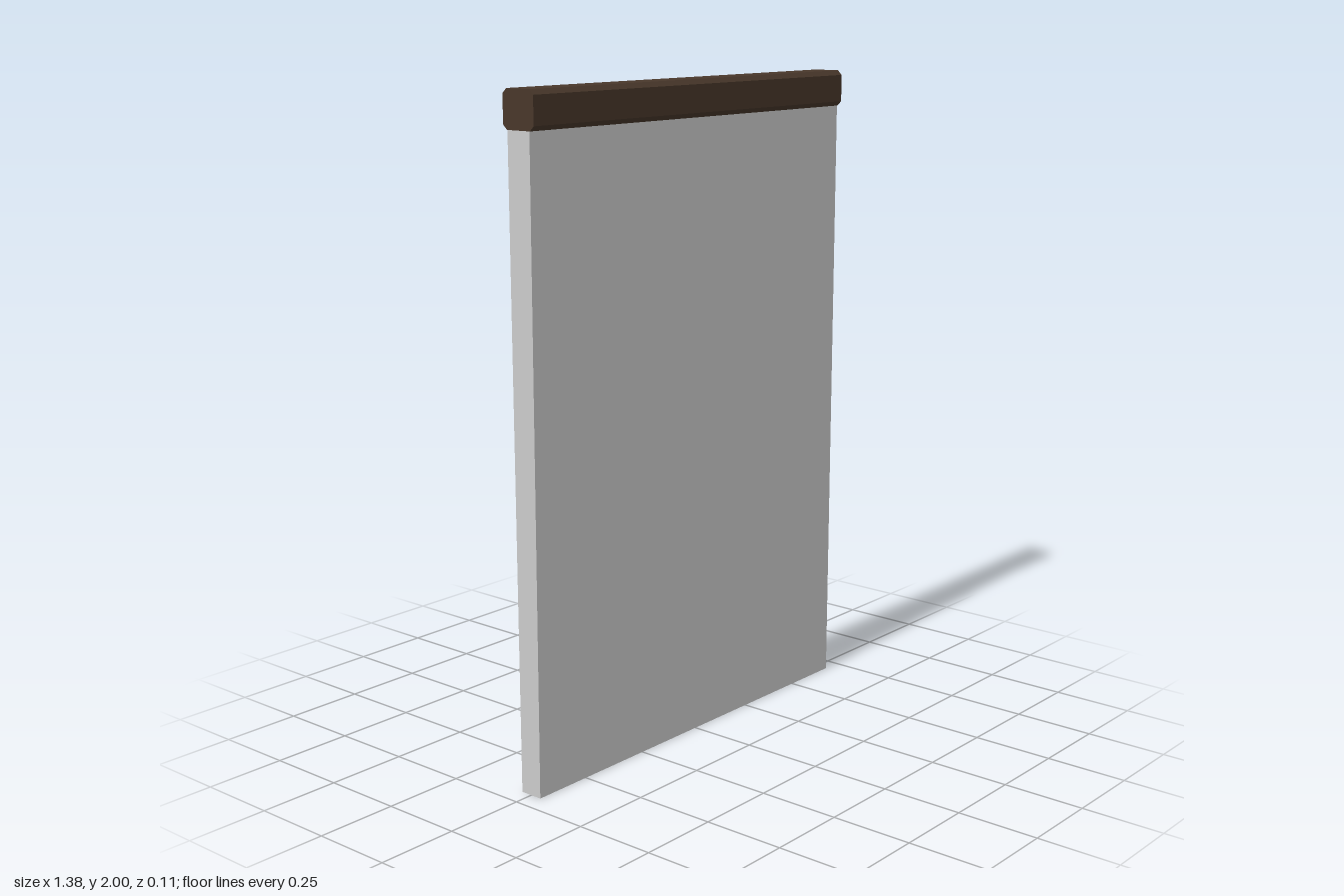
import * as THREE from 'three';

const HALF_WIDTH = 0.69;

// Head rail: chamfered square section extruded along x
function createRail() {
  const hz = 0.057, y0 = 1.89, y1 = 2, c = 0.014;
  const section = new THREE.Shape([
    [-hz + c, y0], [hz - c, y0], [hz, y0 + c], [hz, y1 - c],
    [hz - c, y1], [-hz + c, y1], [-hz, y1 - c], [-hz, y0 + c],
  ].map(([x, y]) => new THREE.Vector2(x, y)));
  const geometry = new THREE.ExtrudeGeometry(section, { depth: 2 * HALF_WIDTH, bevelEnabled: false });
  geometry.translate(0, 0, -HALF_WIDTH).rotateY(Math.PI / 2);
  const rail = new THREE.Mesh(geometry, new THREE.MeshStandardMaterial({ color: 0x48372a, flatShading: true }));
  rail.name = 'headRail';
  return rail;
}

// Hanging panel: a slab that gets slightly thinner towards the bottom
function createPanel() {
  const height = 1.89, topHalf = 0.041, bottomHalf = 0.036;
  const geometry = new THREE.BoxGeometry(2 * HALF_WIDTH, height, 2);
  geometry.translate(0, height / 2, 0);
  const p = geometry.attributes.position;
  for (let i = 0; i < p.count; i++) {
    p.setZ(i, p.getZ(i) * THREE.MathUtils.lerp(bottomHalf, topHalf, p.getY(i) / height));
  }
  geometry.computeVertexNormals();
  const panel = new THREE.Mesh(geometry, new THREE.MeshStandardMaterial({ color: 0xcccccc, flatShading: true }));
  panel.name = 'hangingPanel';
  return panel;
}

export function createModel() {
  const model = new THREE.Group();
  model.name = 'hangingScreen';
  model.add(createRail(), createPanel());
  return model;
}
